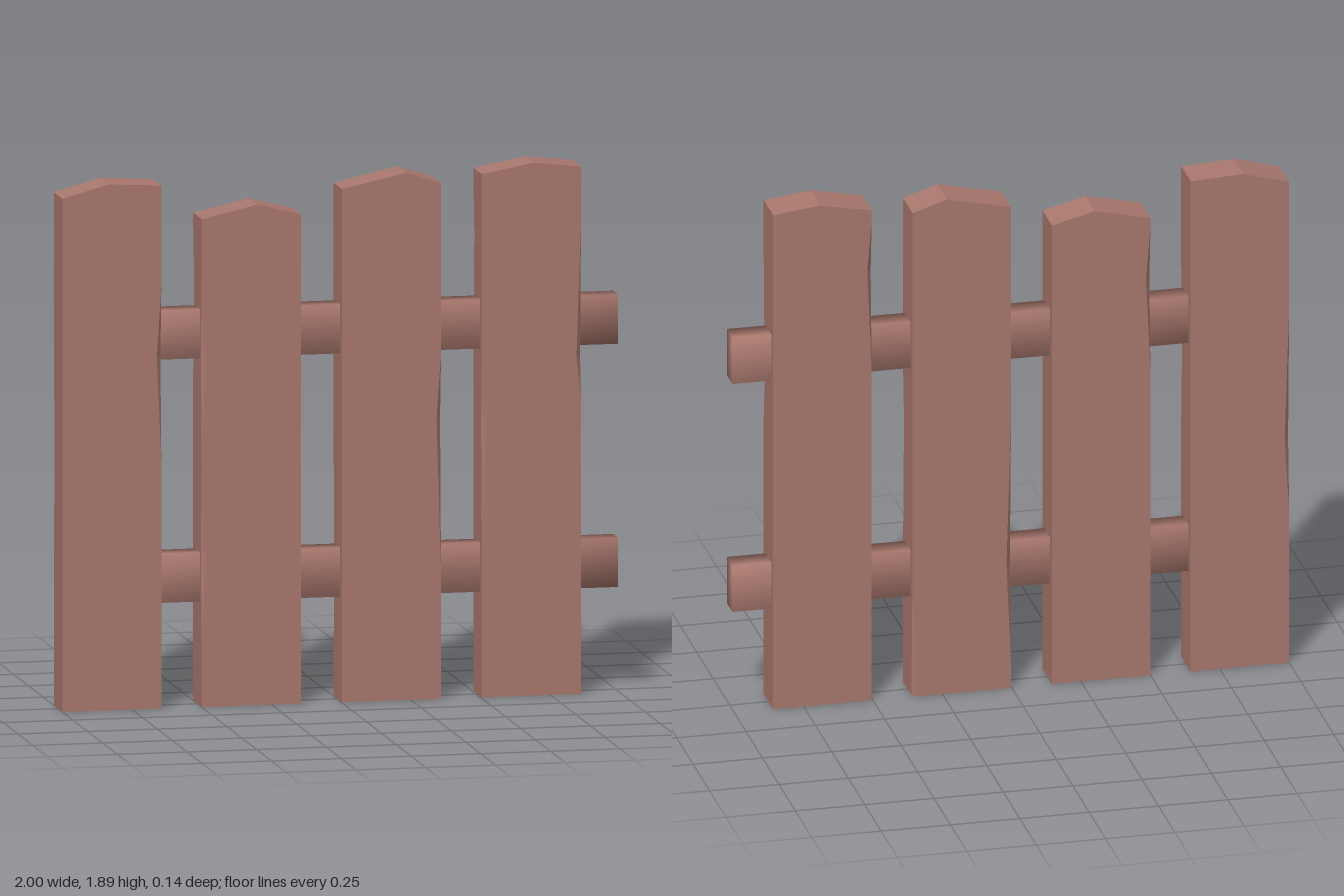
import * as THREE from 'three';
import { mergeVertices } from 'three/addons/utils/BufferGeometryUtils.js';

const HALF = 0.0725; // half plank thickness
const CHIP = 0.016;  // depth of the worn edges

// Plank: x range, top outline heights with the peak, and chips per vertical edge.
// Each chip is [top, deepest, bottom] in y; edges are front/back + Min/Max x.
const PLANKS = [
  { x0: -1, x1: -0.645, left: 1.825, peak: [-0.835, 1.87], right: 1.86,
    chips: { frontMax: [[1.5, 1.25, 0.88]], backMin: [[1.35, 0.85, 0.57]] } },
  { x0: -0.5, x1: -0.145, left: 1.735, peak: [-0.3, 1.78], right: 1.74,
    chips: { frontMin: [[1.52, 1.27, 0.85], [0.85, 0.55, 0.22]], backMin: [[1.7, 1.5, 1.15]] } },
  { x0: 0.003, x1: 0.358, left: 1.825, peak: [0.235, 1.875], right: 1.835,
    chips: { frontMax: [[1.22, 1.0, 0.45]], backMin: [[1.0, 0.47, 0.1]], backMax: [[0.45, 0, -0.4]] } },
  { x0: 0.505, x1: 0.86, left: 1.86, peak: [0.69, 1.895], right: 1.875,
    chips: { frontMin: [[1.22, 1.0, 0.5]], frontMax: [[1.67, 1.2, 1.05]], backMin: [[1.82, 1.63, 1.25]] } },
];

// Corner cut of one edge at height y
function cut(chips = [], y) {
  let c = 0;
  for (const [top, mid, low] of chips) {
    if (y < top && y > low) c = CHIP * (y >= mid ? (top - y) / (top - mid) : (y - low) / (mid - low));
  }
  return c;
}

function plankGeometry({ x0, x1, left, peak, right, chips }) {
  const ys = Object.values(chips).flat(2).filter((y) => y > 0);
  const levels = [...new Set([0, ...ys])].sort((a, b) => a - b);
  const topY = (x) => (x < peak[0]
    ? THREE.MathUtils.mapLinear(x, x0, peak[0], left, peak[1])
    : THREE.MathUtils.mapLinear(x, peak[0], x1, peak[1], right));

  // Ten-point section: two points per corner and one mid point front and back
  const ring = (y) => {
    const [a, b, c, d] = ['frontMin', 'frontMax', 'backMax', 'backMin']
      .map((k) => (y === null ? 0 : cut(chips[k], y)));
    return [
      [x0, HALF - a], [x0 + a, HALF], [peak[0], HALF], [x1 - b, HALF], [x1, HALF - b],
      [x1, -HALF + c], [x1 - c, -HALF], [peak[0], -HALF], [x0 + d, -HALF], [x0, -HALF + d],
    ].map(([x, z]) => new THREE.Vector3(x, y === null ? topY(x) : y, z));
  };
  const rings = [...levels, null].map(ring);

  const positions = [];
  const tri = (a, b, c) => {
    if (new THREE.Triangle(a, b, c).getArea() > 1e-7) {
      for (const p of [a, b, c]) positions.push(p.x, p.y, p.z);
    }
  };
  const fan = (pts) => {
    for (let i = 1; i < pts.length - 1; i++) tri(pts[0], pts[i], pts[i + 1]);
  };
  for (let r = 0; r < rings.length - 1; r++) {
    const low = rings[r], up = rings[r + 1];
    for (let i = 0; i < 10; i++) {
      const j = (i + 1) % 10;
      tri(low[i], low[j], up[j]);
      tri(low[i], up[j], up[i]);
    }
  }
  const top = rings[rings.length - 1];
  fan([0, 1, 2, 7, 8, 9].map((i) => top[i]));
  fan([2, 3, 4, 5, 6, 7].map((i) => top[i]));
  fan([...rings[0]].reverse());

  const geometry = new THREE.BufferGeometry();
  geometry.setAttribute('position', new THREE.Float32BufferAttribute(positions, 3));
  geometry.computeVertexNormals();
  return geometry;
}

// Rail with normals blended around its edges
function railGeometry() {
  const box = new THREE.BoxGeometry(1.9, 0.175, 0.085, 4, 1, 1);
  box.deleteAttribute('normal');
  box.deleteAttribute('uv');
  const geometry = mergeVertices(box);
  geometry.computeVertexNormals();
  return geometry;
}

export function createModel() {
  const fence = new THREE.Group();
  fence.name = 'fence';
  const wood = new THREE.MeshStandardMaterial({ color: 0xa9786e });
  wood.name = 'reddish wood';

  // Upright planks
  PLANKS.forEach((spec, i) => {
    const plank = new THREE.Mesh(plankGeometry(spec), wood);
    plank.name = `plank${i + 1}`;
    fence.add(plank);
  });

  // Cross rails
  const rail = railGeometry();
  for (const [name, y] of [['lowerRail', 0.458], ['upperRail', 1.323]]) {
    const mesh = new THREE.Mesh(rail, wood);
    mesh.name = name;
    mesh.position.set(0.05, y, 0);
    fence.add(mesh);
  }
  return fence;
}
